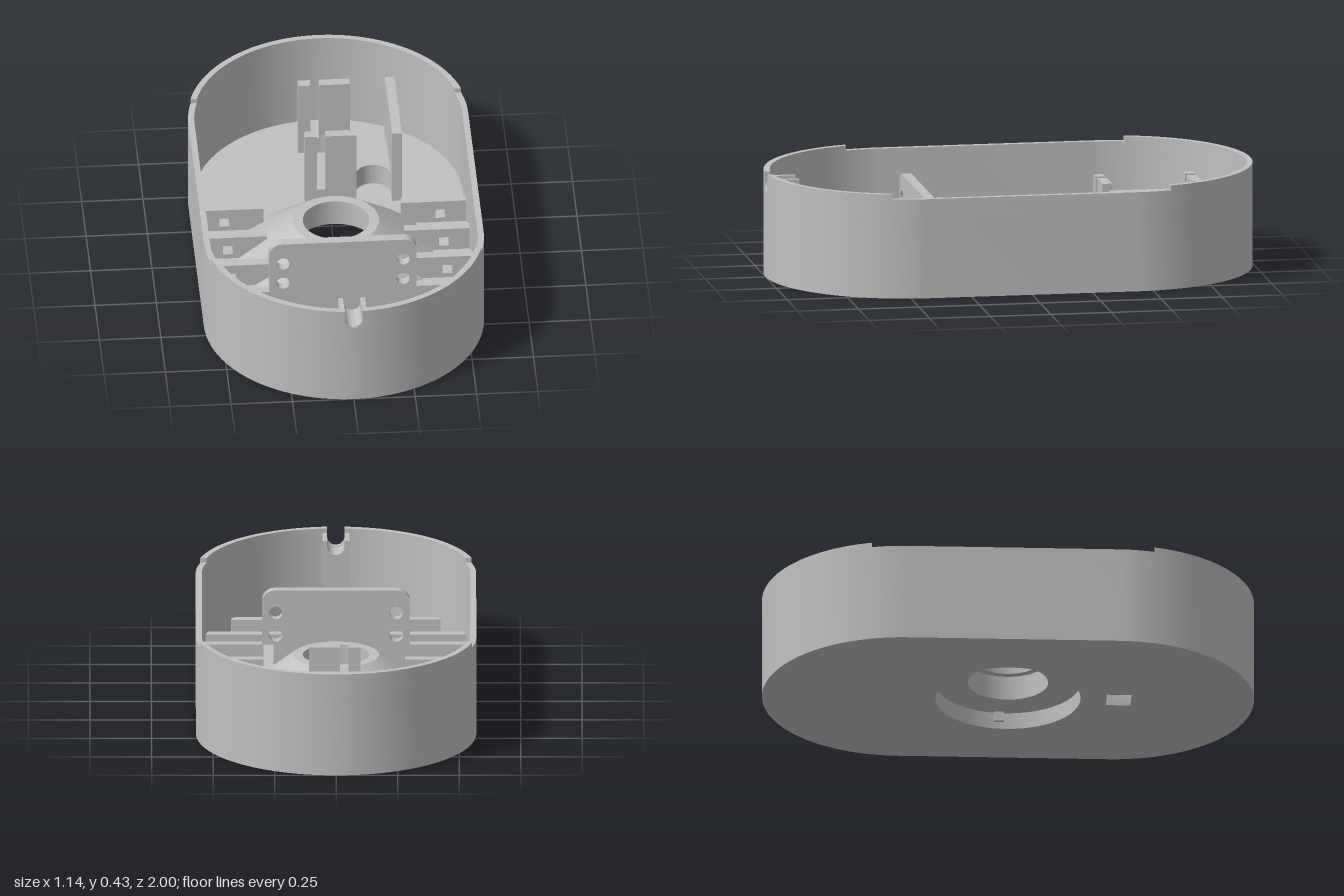
import * as THREE from 'three';
import { toCreasedNormals } from 'three/addons/utils/BufferGeometryUtils.js';

const R = 0.57, RI = 0.545, CZ = 0.43, FLOOR = 0.03, WALL = 0.41, LIP = 0.43;
const NOTCH = 0.035, NOTCH_Y = 0.35;

export function createModel() {
  const model = new THREE.Group();
  const grey = new THREE.MeshStandardMaterial({ color: 0xc0c0c0 });
  grey.name = 'grey plastic';

  function add(name, geo) {
    const mesh = new THREE.Mesh(toCreasedNormals(geo, 0.5), grey);
    mesh.name = name;
    model.add(mesh);
    return mesh;
  }
  function box(name, x0, x1, y0, y1, z0, z1) {
    const g = new THREE.BoxGeometry(x1 - x0, y1 - y0, z1 - z0);
    g.translate((x0 + x1) / 2, (y0 + y1) / 2, (z0 + z1) / 2);
    return add(name, g);
  }
  // plan shape (shape y = -z) raised from y0 to y1
  function raise(name, shape, y0, y1) {
    const g = new THREE.ExtrudeGeometry(shape, { depth: y1 - y0, bevelEnabled: false, curveSegments: 40 });
    g.rotateX(-Math.PI / 2);
    g.translate(0, y0, 0);
    return add(name, g);
  }
  // front-facing shape (x, y) spanning z0 to z1
  function slab(name, shape, z0, z1) {
    const g = new THREE.ExtrudeGeometry(shape, { depth: z1 - z0, bevelEnabled: false, curveSegments: 16 });
    g.translate(0, 0, z0);
    return add(name, g);
  }
  const poly = (pts) => new THREE.Shape(pts.map(([x, y]) => new THREE.Vector2(x, y)));
  function stadium(r, Type) {
    const s = new Type();
    s.absarc(0, CZ, r, 0, Math.PI, false);
    s.absarc(0, -CZ, r, Math.PI, Math.PI * 2, false);
    s.closePath();
    return s;
  }
  function circle(x, y, r) {
    const p = new THREE.Path();
    p.absarc(x, y, r, 0, Math.PI * 2, true);
    return p;
  }

  // floor with the hub opening and the cable slot
  const floor = stadium(R, THREE.Shape);
  floor.holes.push(circle(0, 0, 0.295));
  floor.holes.push(new THREE.Path([[-0.05, -0.4], [-0.05, -0.5], [0.05, -0.5], [0.05, -0.4]].map(([x, y]) => new THREE.Vector2(x, y))));
  raise('floor', floor, 0, FLOOR);

  // lower wall ring
  const ring = stadium(R, THREE.Shape);
  ring.holes.push(stadium(RI, THREE.Path));
  raise('wall', ring, FLOOR, NOTCH_Y);

  // one side of a wall end: sz picks front or back, a is the start angle from the side
  function arc(sx, sz, r, a0, a1) {
    const pts = [];
    for (let i = 0; i <= 40; i++) {
      const a = a0 + (a1 - a0) * i / 40;
      pts.push([sx * r * Math.cos(a), -sz * (CZ + r * Math.sin(a))]);
    }
    return pts;
  }
  const tip = (sz, r) => sz > 0 ? Math.acos(NOTCH / r) : Math.PI / 2;
  for (const sx of [-1, 1]) {
    const path = (r) => [...arc(sx, 1, r, tip(1, r), 0), ...arc(sx, -1, r, 0, Math.PI / 2)];
    raise('upperWall', poly([...path(R), ...path(RI).reverse()]), NOTCH_Y, WALL);
    for (const sz of [-1, 1]) {
      const end = (r) => arc(sx, sz, r, Math.asin(0.145 / r), tip(sz, r));
      raise('rimLip', poly([...end(R), ...end(RI).reverse()]), WALL, LIP);
    }
  }
  // rounded bottom of the cable notch
  const saddle = new THREE.Shape();
  saddle.moveTo(-NOTCH, NOTCH_Y);
  saddle.lineTo(NOTCH, NOTCH_Y);
  saddle.lineTo(NOTCH, NOTCH_Y + NOTCH);
  saddle.absarc(0, NOTCH_Y + NOTCH + 0.004, NOTCH, 0, -Math.PI, true);
  saddle.closePath();
  slab('notchSaddle', saddle, 0.972, 0.998);

  // conical hub with stepped bore and underside recess
  const hub = [[0.395, FLOOR], [0.175, 0.2], [0.135, 0.2], [0.135, 0.172], [0.163, 0.172],
    [0.163, 0.07], [0.295, 0.07], [0.295, FLOOR]].map(([x, y]) => new THREE.Vector2(x, y));
  add('hub', new THREE.LatheGeometry(hub, 72));

  // cable post with a groove on top and a cross slot
  function grooved(y0) {
    const s = new THREE.Shape();
    s.moveTo(-0.055, y0);
    s.lineTo(0.055, y0);
    s.lineTo(0.055, WALL);
    s.lineTo(NOTCH, WALL);
    s.lineTo(NOTCH, NOTCH_Y + NOTCH);
    s.absarc(0, NOTCH_Y + NOTCH, NOTCH, 0, -Math.PI, true);
    s.lineTo(-NOTCH, WALL);
    s.lineTo(-0.055, WALL);
    s.closePath();
    return s;
  }
  slab('cablePost', grooved(FLOOR), 0.87, 0.9);
  slab('cablePost', grooved(FLOOR), 0.94, 0.973);
  slab('cablePostBridge', grooved(0.32), 0.9, 0.94);
  box('cablePostFoot', -0.055, 0.055, FLOOR, 0.28, 0.9, 0.94);

  // upright plate with rounded top corners and four screw holes
  const plate = new THREE.Shape();
  plate.moveTo(-0.3, FLOOR);
  plate.lineTo(0.3, FLOOR);
  plate.absarc(0.25, 0.31, 0.05, 0, Math.PI / 2, false);
  plate.absarc(-0.25, 0.31, 0.05, Math.PI / 2, Math.PI, false);
  plate.closePath();
  for (const x of [-0.245, 0.245]) for (const y of [0.17, 0.265]) plate.holes.push(circle(x, y, 0.027));
  slab('mountPlate', plate, 0.355, 0.395);

  // cross ribs and side ribs
  for (const [z, w] of [[0.575, 0.53], [0.775, 0.425]]) box('crossRib', -w, w, FLOOR, 0.11, z - 0.02, z + 0.02);
  for (const s of [-1, 1]) {
    const span = (a, b) => s > 0 ? [a, b] : [-b, -a];
    box('plateWing', ...span(0.3, 0.55), FLOOR, 0.13, 0.355, 0.395);
    for (const z of [-0.225, -0.025, 0.175]) {
      const rib = poly([[s * 0.28, FLOOR], [s * 0.55, FLOOR], [s * 0.55, 0.13], [s * 0.28, 0.13]]);
      rib.holes.push(new THREE.Path([[0.42, 0.05], [0.42, 0.09], [0.46, 0.09], [0.46, 0.05]]
        .map(([x, y]) => new THREE.Vector2(s * x, y))));
      slab('sideRib', rib, z - 0.02, z + 0.02);
    }
  }

  // switch holder: tall bar, two pairs of prongs and a low web
  box('holderBar', 0.255, 0.295, FLOOR, 0.36, -0.78, -0.37);
  for (const z of [-0.78, -0.41]) {
    box('thinProng', -0.1, -0.05, FLOOR, 0.36, z, z + 0.04);
    box('prongLink', -0.05, -0.015, FLOOR, 0.1, z, z + 0.04);
    box('wideProng', -0.015, 0.11, FLOOR, 0.36, z, z + 0.04);
  }
  const web = new THREE.Shape();
  web.moveTo(-0.01, 0.41);
  web.lineTo(0.11, 0.41);
  web.absarc(0.1825, 0.43, 0.0725, Math.PI, 0, true);
  web.lineTo(0.255, 0.74);
  web.lineTo(0.255, 0.72);
  web.absarc(0.1825, 0.72, 0.0725, 0, -Math.PI, true);
  web.lineTo(0.11, 0.74);
  web.lineTo(-0.01, 0.74);
  web.absarc(-0.01, 0.685, 0.055, Math.PI / 2, 0, true);
  web.absarc(-0.01, 0.465, 0.055, 0, -Math.PI / 2, true);
  web.closePath();
  // keep the web outline simple where the notches meet the bar
  const outline = web.getPoints(16).filter((p) => !(p.x > 0.2549 && p.y > 0.73));
  raise('holderWeb', new THREE.Shape(outline), FLOOR, 0.12);

  return model;
}
